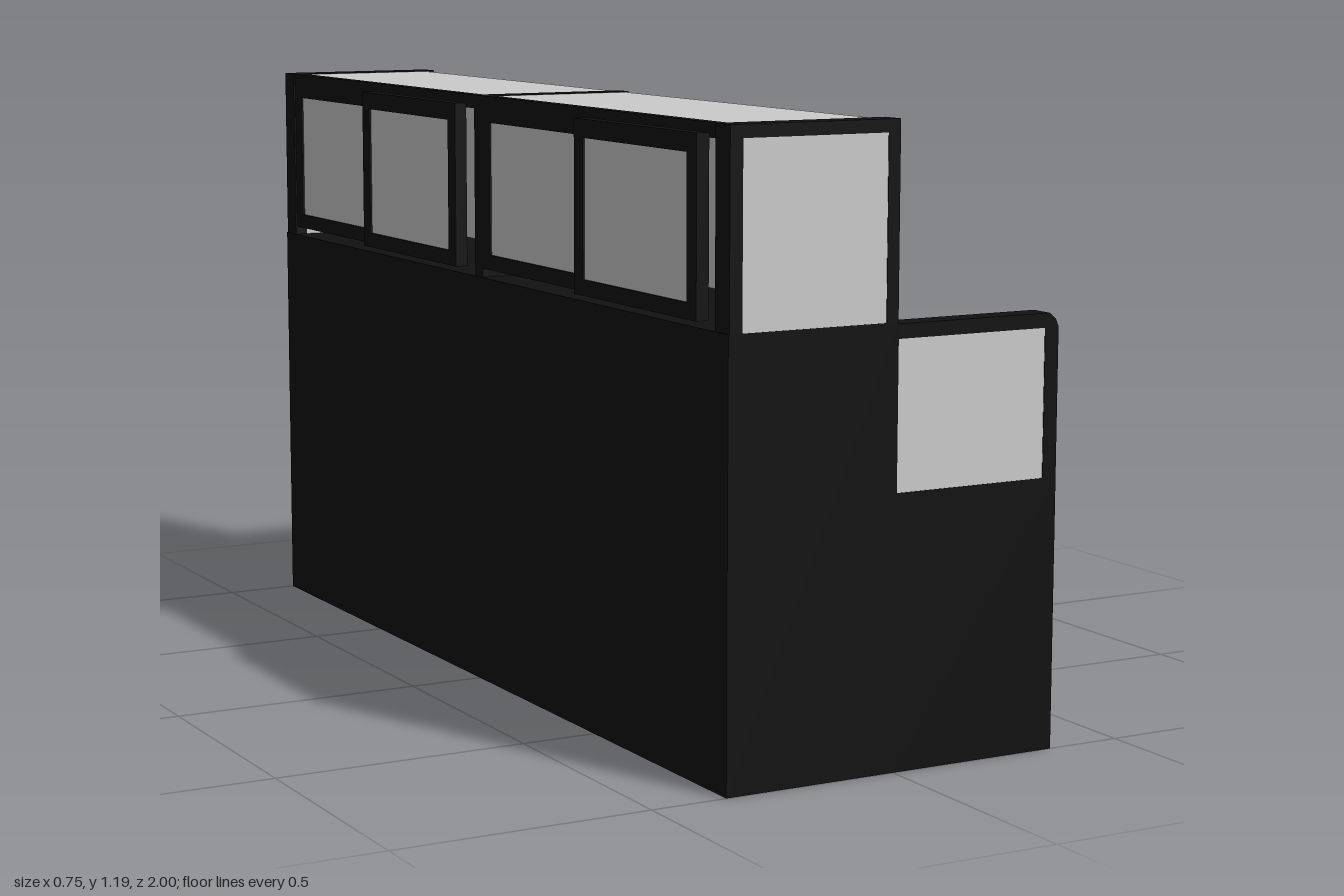
import * as THREE from 'three';

const mat = (color) => new THREE.MeshStandardMaterial({ color });

export function createModel() {
  const model = new THREE.Group();
  const black = mat(0x111111), glass = mat(0xcccccc), tan = mat(0xa69372), steel = mat(0x939393);

  // box given by its [min, max] range on each axis
  function box(name, material, [x0, x1], [y0, y1], [z0, z1], parent = model) {
    const mesh = new THREE.Mesh(new THREE.BoxGeometry(x1 - x0, y1 - y0, z1 - z0), material);
    mesh.name = name;
    mesh.position.set((x0 + x1) / 2, (y0 + y1) / 2, (z0 + z1) / 2);
    parent.add(mesh);
    return mesh;
  }
  const shapeOf = (pts) => new THREE.Shape(pts.map(([x, y]) => new THREE.Vector2(x, y)));
  const rect = (x0, x1, y0, y1) => shapeOf([[x0, y0], [x1, y0], [x1, y1], [x0, y1]]);

  // extruded frame with a rectangular opening
  function frame(name, material, outline, hole, depth) {
    outline.holes.push(hole);
    const geo = new THREE.ExtrudeGeometry(outline, { depth, bevelEnabled: false });
    const mesh = new THREE.Mesh(geo, material);
    mesh.name = name;
    model.add(mesh);
    return mesh;
  }

  // cabinet body: tall rear part and low front part
  box('rearBody', black, [-0.35, 0], [0, 0.825], [-1, 1]);
  box('frontBody', black, [0, 0.35], [0, 0.41], [-0.95, 0.95]);
  box('frontPanel', tan, [0.352, 0.375], [0, 0.418], [-0.95, 0.95]);

  // tray with a recessed well
  const rim = frame('trayRim', steel, rect(0, 0.35, -0.95, 0.95), rect(0.04, 0.29, -0.9, 0.9), 0.105);
  rim.rotation.x = -Math.PI / 2;
  rim.position.y = 0.412;
  box('trayFloor', steel, [0.03, 0.3], [0.4, 0.415], [-0.91, 0.91]);

  // low glass lip along the front, with its rail and posts
  box('lipRail', black, [0.35, 0.373], [0.418, 0.435], [-0.95, 0.95]);
  box('lipGlass', glass, [0.35, 0.366], [0.435, 0.52], [-0.935, 0.935]);
  for (const z of [-0.943, 0, 0.943]) {
    const w = z === 0 ? 0.018 : 0.008;
    box('lipPost', black, [0.349, 0.373], [0.43, 0.515], [z - w, z + w]);
  }

  // both ends: lower wall, side wing and end frame of the upper case
  for (const s of [-1, 1]) {
    const z0 = s > 0 ? 0.95 : -1;
    const zr = [z0 + 0.001, z0 + 0.049];
    box('endWall', black, [0, 0.35], [0, 0.515], [z0, z0 + 0.05]);

    const wing = shapeOf([[0, 0.515], [0.35, 0.515], [0.35, 0.795], [0.344, 0.81], [0.33, 0.822], [0, 0.822]]);
    frame('wingFrame', black, wing, rect(0.001, 0.32, 0.516, 0.795), 0.05).position.z = z0;
    box('wingGlass', glass, [0.001, 0.32], [0.515, 0.795], zr);

    frame('caseEndFrame', black, rect(-0.348, 0, 0.82, 1.187), rect(-0.322, -0.025, 0.825, 1.163), 0.05).position.z = z0;
    box('caseEndGlass', glass, [-0.322, -0.025], [0.822, 1.163], zr);

    // upper glass of this half
    const zh = s > 0 ? [0.018, 0.95] : [-0.95, -0.018];
    box('topGlass', glass, [-0.325, -0.02], [1.17, 1.185], zh);
    box('caseFrontGlass', glass, [-0.035, -0.02], [0.82, 1.185], zh);
  }

  // centre divider and rear rails of the upper case
  box('centrePost', black, [-0.345, -0.015], [0.82, 1.187], [-0.018, 0.018]);
  box('rearTopRail', black, [-0.345, -0.325], [1.16, 1.187], [-0.95, 0.95]);

  // sliding rear doors, alternating inner and outer track
  const doors = [[-0.95, -0.47, 0], [-0.5, -0.04, 1], [0.015, 0.51, 0], [0.475, 0.935, 1]];
  for (const [a, b, outer] of doors) {
    const door = new THREE.Group();
    door.name = outer ? 'outerSlidingDoor' : 'innerSlidingDoor';
    const x = outer ? -0.377 : -0.345, xr = [x, x + 0.025];
    box('doorBottomRail', black, xr, [0.842, 0.872], [a, b], door);
    box('doorTopRail', black, xr, [1.135, 1.17], [a, b], door);
    box('doorStile', black, xr, [0.872, 1.135], [a, a + 0.035], door);
    box('doorStile', black, xr, [0.872, 1.135], [b - 0.035, b], door);
    box('doorGlass', glass, [x + 0.004, x + 0.021], [0.87, 1.137], [a + 0.034, b - 0.034], door);
    model.add(door);
  }

  return model;
}
